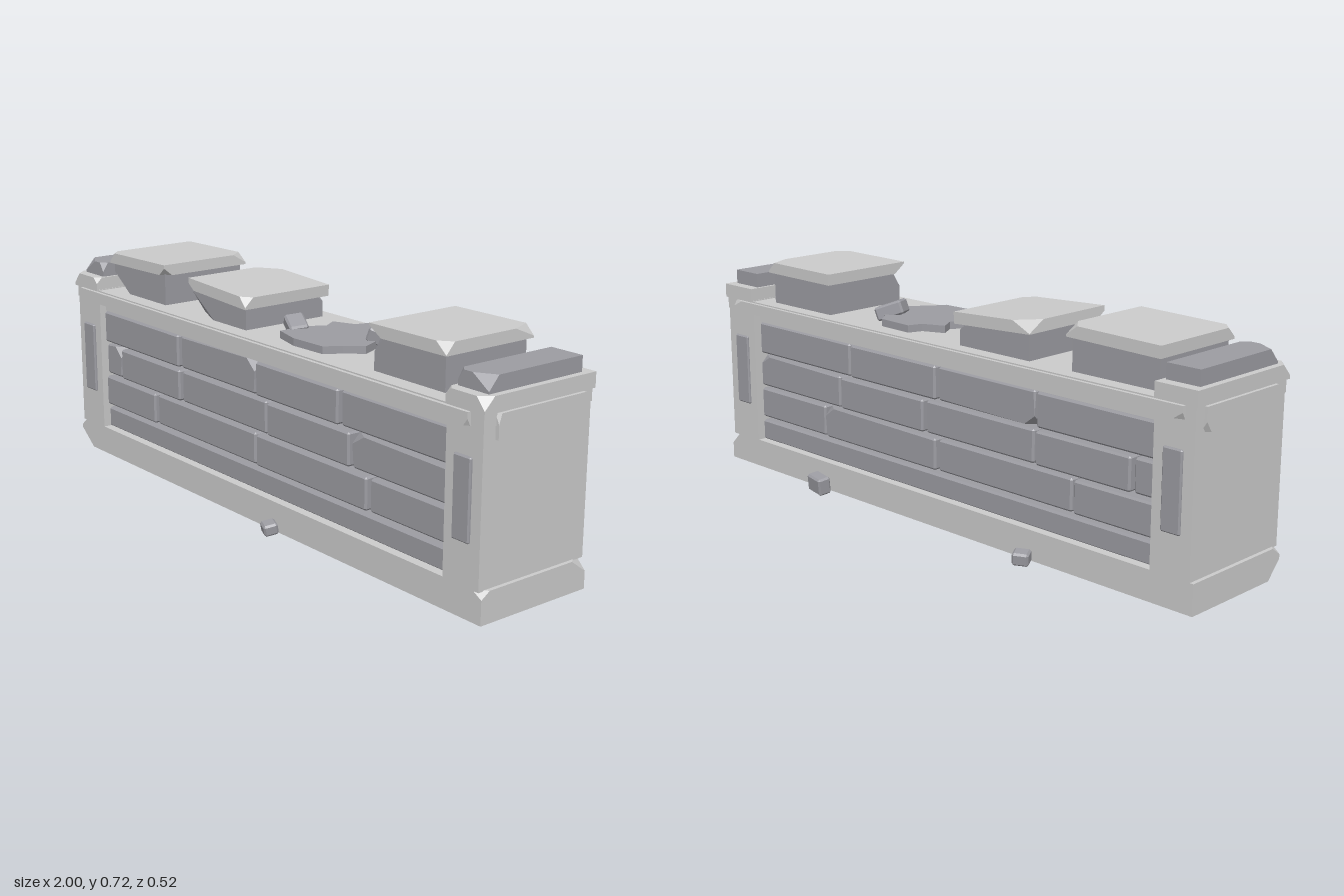
import * as THREE from 'three';
import { ConvexGeometry } from 'three/addons/geometries/ConvexGeometry.js';

const light = new THREE.MeshStandardMaterial({ color: 0xcccccc, flatShading: true });
const dark = new THREE.MeshStandardMaterial({ color: 0x9c9ca2, flatShading: true });

// Block from ranges; every corner may be bevelled, or chipped by [sx, sy, sz, dx, dy, dz].
function blockGeometry([x0, x1], [y0, y1], [z0, z1], bevel = 0, chips = []) {
  const pts = [];
  for (const sx of [-1, 1]) for (const sy of [-1, 1]) for (const sz of [-1, 1]) {
    const x = sx < 0 ? x0 : x1, y = sy < 0 ? y0 : y1, z = sz < 0 ? z0 : z1;
    const chip = chips.find(c => c[0] === sx && c[1] === sy && c[2] === sz);
    if (chip) {
      pts.push(new THREE.Vector3(x - sx * chip[3], y, z),
        new THREE.Vector3(x, y - sy * chip[4], z),
        new THREE.Vector3(x, y, z - sz * chip[5]));
    } else if (bevel) {
      const b = bevel;
      pts.push(new THREE.Vector3(x, y - sy * b, z - sz * b),
        new THREE.Vector3(x - sx * b, y, z - sz * b),
        new THREE.Vector3(x - sx * b, y - sy * b, z));
    } else pts.push(new THREE.Vector3(x, y, z));
  }
  return new ConvexGeometry(pts);
}

export function createModel() {
  const model = new THREE.Group();
  model.name = 'brokenStoneWall';

  const add = (name, geometry, material) => {
    const mesh = new THREE.Mesh(geometry, material);
    mesh.name = name;
    model.add(mesh);
    return mesh;
  };
  const block = (name, x, y, z, material = light, bevel = 0, chips = []) =>
    add(name, blockGeometry(x, y, z, bevel, chips), material);
  // Block whose geometry sits on its own centre, so that it can be turned.
  const turned = (name, [w, h, d], pos, rot, material, bevel = 0, chips = []) => {
    const mesh = add(name, blockGeometry([-w / 2, w / 2], [-h / 2, h / 2], [-d / 2, d / 2], bevel, chips), material);
    mesh.position.set(...pos);
    mesh.rotation.set(...rot);
    return mesh;
  };

  // Plinth with broken corners
  block('plinth', [-1, 1], [0.01, 0.103], [-0.195, 0.205], light, 0, [
    [-1, -1, 1, 0.07, 0.055, 0.05], [-1, 1, 1, 0.03, 0.025, 0.035],
    [1, 1, -1, 0.04, 0.04, 0.055], [1, 1, 1, 0.035, 0.02, 0.03]]);

  // End posts with raised panels on both faces
  for (const s of [-1, 1]) {
    const span = (a, b) => (s < 0 ? [-b, -a] : [a, b]);
    block('endPost', span(0.853, 0.988), [0.1, 0.59], [-0.195, 0.205]);
    block('postPanelFront', span(0.887, 0.952), [0.225, 0.462], [0.19, 0.213], dark, 0.004);
    block('postPanelBack', span(0.887, 0.952), [0.225, 0.462], [-0.202, -0.18], dark, 0.004);
    block('sideBand', span(0.94, 1), [0.51, 0.581], [-0.163, 0.163], light, 0, [
      [s, -1, -1, 0.02, 0.03, 0.02], [s, 1, 1, 0.015, 0.03, 0.01]]);

    // Stepped caps over the posts
    block('postCapBase', span(0.855, 0.997), [0.585, 0.63], [-0.201, 0.213], light, 0, [
      [s, 1, 1, 0.03, 0.035, 0.035], [-s, 1, 1, 0.02, 0.02, 0.02]]);
    block('postCapTop', span(0.865, 0.977), [0.625, 0.676], [-0.167, 0.18], dark, 0, [
      [s, 1, 1, 0.06, 0.04, 0.035], [-s, 1, 1, 0.02, 0.03, 0.02]]);
  }

  // Top beam, walkway slab and the cornice strips
  block('topBeam', [-0.86, 0.86], [0.515, 0.56], [-0.172, 0.182]);
  block('walkwaySlab', [-0.99, 0.99], [0.547, 0.587], [-0.197, 0.207]);
  block('corniceFront', [-0.955, 0.943], [0.545, 0.583], [0.19, 0.219], light, 0, [
    [-1, -1, 1, 0.02, 0.02, 0.01], [1, -1, 1, 0.015, 0.02, 0.01]]);
  block('corniceBack', [-0.955, 0.943], [0.545, 0.583], [-0.208, -0.18], light, 0, [
    [1, 1, -1, 0.04, 0.02, 0.012], [-1, -1, -1, 0.03, 0.02, 0.01]]);

  // Brick courses running through the wall, with open joints between them
  const courses = [
    { y: [0.1, 0.17], joints: [] },
    { y: [0.182, 0.283], joints: [-0.553, -0.005, 0.52] },
    { y: [0.293, 0.396], joints: [-0.765, -0.406, 0.05, 0.443] },
    { y: [0.406, 0.512], joints: [-0.41, -0.005, 0.392] },
  ];
  const brickChips = {
    '2-0': [[1, 1, 1, 0.035, 0.035, 0.03]],
    '2-4': [[-1, 1, 1, 0.05, 0.03, 0.03], [1, 1, -1, 0.05, 0.03, 0.03]],
    '3-1': [[1, 1, 1, 0.04, 0.035, 0.03], [-1, -1, -1, 0.04, 0.03, 0.03]],
    '1-2': [[1, 1, -1, 0.04, 0.03, 0.03]],
  };
  courses.forEach(({ y, joints }, row) => {
    const edges = [-0.866, ...joints, 0.866];
    for (let i = 0; i < edges.length - 1; i++) {
      const proud = ((row + i) % 2) * 0.006;
      block('brick', [edges[i] + 0.005, edges[i + 1] - 0.005], y, [-0.168 - proud, 0.178 + proud],
        dark, 0.006, brickChips[`${row}-${i}`]);
    }
  });

  // Battlements: a dark block under a slightly tilted, chipped slab
  const battlements = [
    { x: [-0.845, -0.515], top: 0.722, tilt: 0.02,
      body: [[-1, -1, 1, 0.1, 0.07, 0.08]],
      slab: [[-1, 1, 1, 0.03, 0.03, 0.03], [1, 1, -1, 0.04, 0.03, 0.05], [1, -1, 1, 0.03, 0.025, 0.03]] },
    { x: [-0.378, -0.075], top: 0.7, tilt: -0.05,
      body: [[-1, -1, 1, 0.12, 0.08, 0.05], [1, 1, -1, 0.05, 0.04, 0.05]],
      slab: [[-1, 1, -1, 0.065, 0.034, 0.06], [1, 1, 1, 0.03, 0.03, 0.03], [-1, -1, 1, 0.03, 0.02, 0.03]] },
    { x: [0.495, 0.802], top: 0.727, tilt: 0.008,
      body: [[-1, 1, 1, 0.05, 0.06, 0.04]],
      slab: [[-1, -1, 1, 0.05, 0.03, 0.04], [1, 1, 1, 0.04, 0.034, 0.03], [1, 1, -1, 0.03, 0.03, 0.07]] },
  ];
  for (const { x, top, tilt, body, slab } of battlements) {
    block('battlementBlock', [x[0] + 0.012, x[1] - 0.012], [0.58, top - 0.025], [-0.15, 0.152], dark, 0, body);
    turned('battlementSlab', [x[1] - x[0], 0.036, 0.327], [(x[0] + x[1]) / 2, top - 0.021, -0.001],
      [0, 0, tilt], light, 0, slab);
  }

  // Stump of the fallen battlement
  const outline = [[0.05, 0.04], [0.09, -0.02], [0.06, -0.07], [0.13, -0.1], [0.145, -0.145], [0.27, -0.14],
    [0.3, -0.1], [0.345, -0.07], [0.325, -0.02], [0.355, 0.05], [0.31, 0.1], [0.28, 0.15], [0.15, 0.155],
    [0.055, 0.13]].map(([x, z]) => new THREE.Vector2(x, -z));
  const stump = new THREE.ExtrudeGeometry(new THREE.Shape(outline), { depth: 0.03, bevelEnabled: false });
  stump.rotateX(-Math.PI / 2);
  add('brokenStump', stump, dark).position.y = 0.58;

  // Loose stones on the walkway and around the foot
  const stones = [
    [[0.075, 0.04, 0.06], [0.037, 0.613, 0.055], [0.1, -0.4, -0.35]],
    [[0.09, 0.045, 0.08], [0.322, 0.618, -0.05], [0.1, 0.55, -0.4]],
    [[0.05, 0.036, 0.045], [0.13, 0.03, 0.232], [0.2, -0.4, 0]],
    [[0.05, 0.04, 0.045], [-0.418, 0.03, -0.232], [-0.15, 0.5, 0.1]],
    [[0.075, 0.058, 0.045], [0.497, 0.036, -0.225], [-0.12, -0.15, 0.05]],
  ];
  for (const [size, pos, rot] of stones) turned('looseStone', size, pos, rot, dark, 0.006);

  return model;
}
